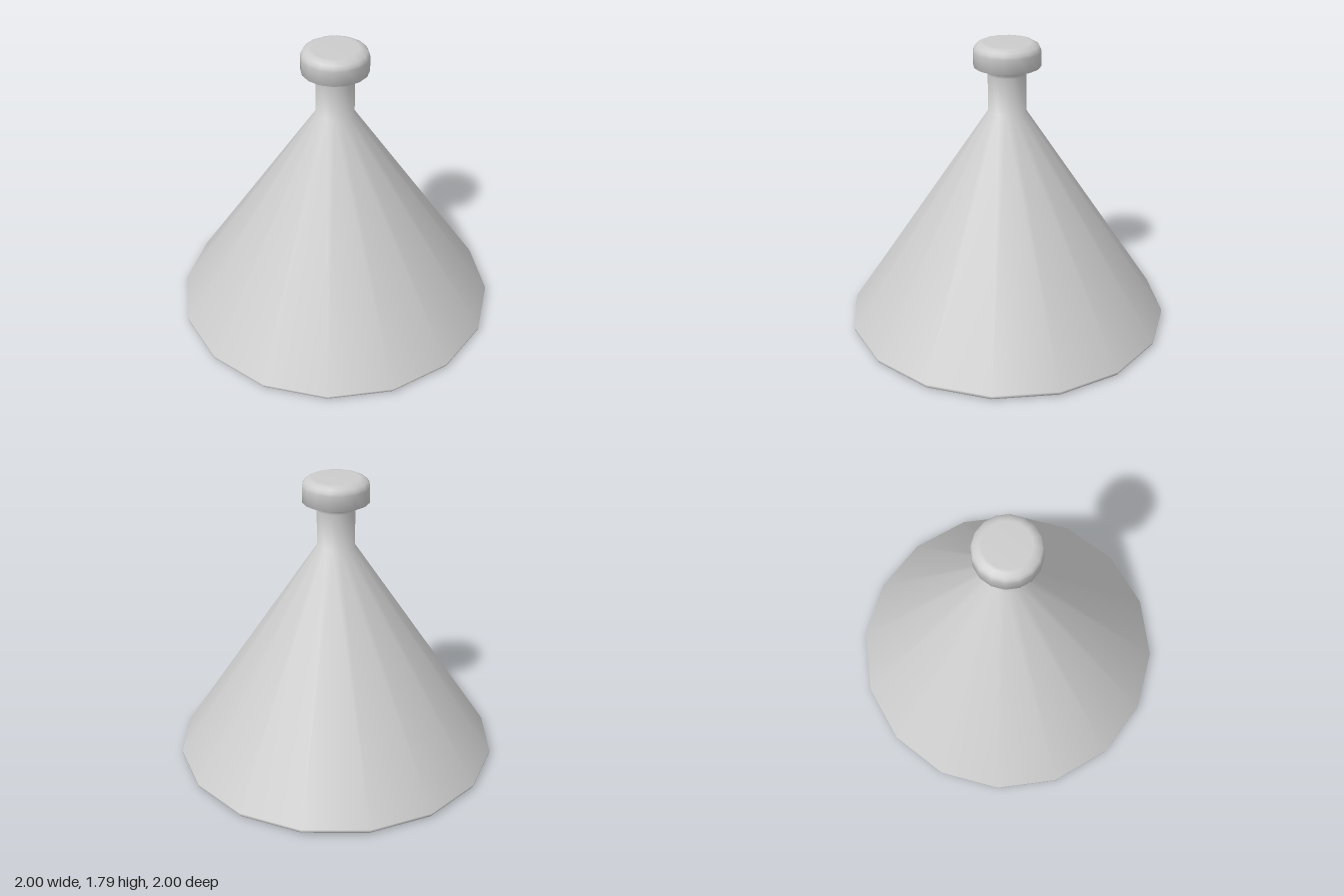
import * as THREE from 'three';
import { mergeVertices } from 'three/addons/utils/BufferGeometryUtils.js';

const SIDES = 16;

// Half profile from the underside to the top: [radius, height]
const PROFILE = [
  // flat underside and thin rounded rim
  [0, 0], [0.975, 0], [0.992, 0.005], [1, 0.016], [1, 0.03],
  // cone and straight neck
  [0.115, 1.365], [0.115, 1.595],
  // flare under the knob
  [0.12, 1.614], [0.133, 1.629], [0.155, 1.64],
  // flat knob with a rounded top edge
  [0.2, 1.645], [0.2, 1.733], [0.197, 1.75], [0.186, 1.768], [0.16, 1.783], [0.14, 1.786], [0, 1.786],
];

export function createModel() {
  const group = new THREE.Group();
  const points = PROFILE.map(([r, y]) => new THREE.Vector2(r, y));
  const lathe = new THREE.LatheGeometry(points, SIDES);

  // Weld the seam and poles, then smooth by area so the large faces keep their shading
  lathe.deleteAttribute('uv');
  lathe.deleteAttribute('normal');
  const geometry = mergeVertices(lathe);
  geometry.computeVertexNormals();

  const body = new THREE.Mesh(geometry, new THREE.MeshStandardMaterial({ color: 0xcccccc }));
  body.name = 'conicalBodyWithKnob';
  group.add(body);
  return group;
}
